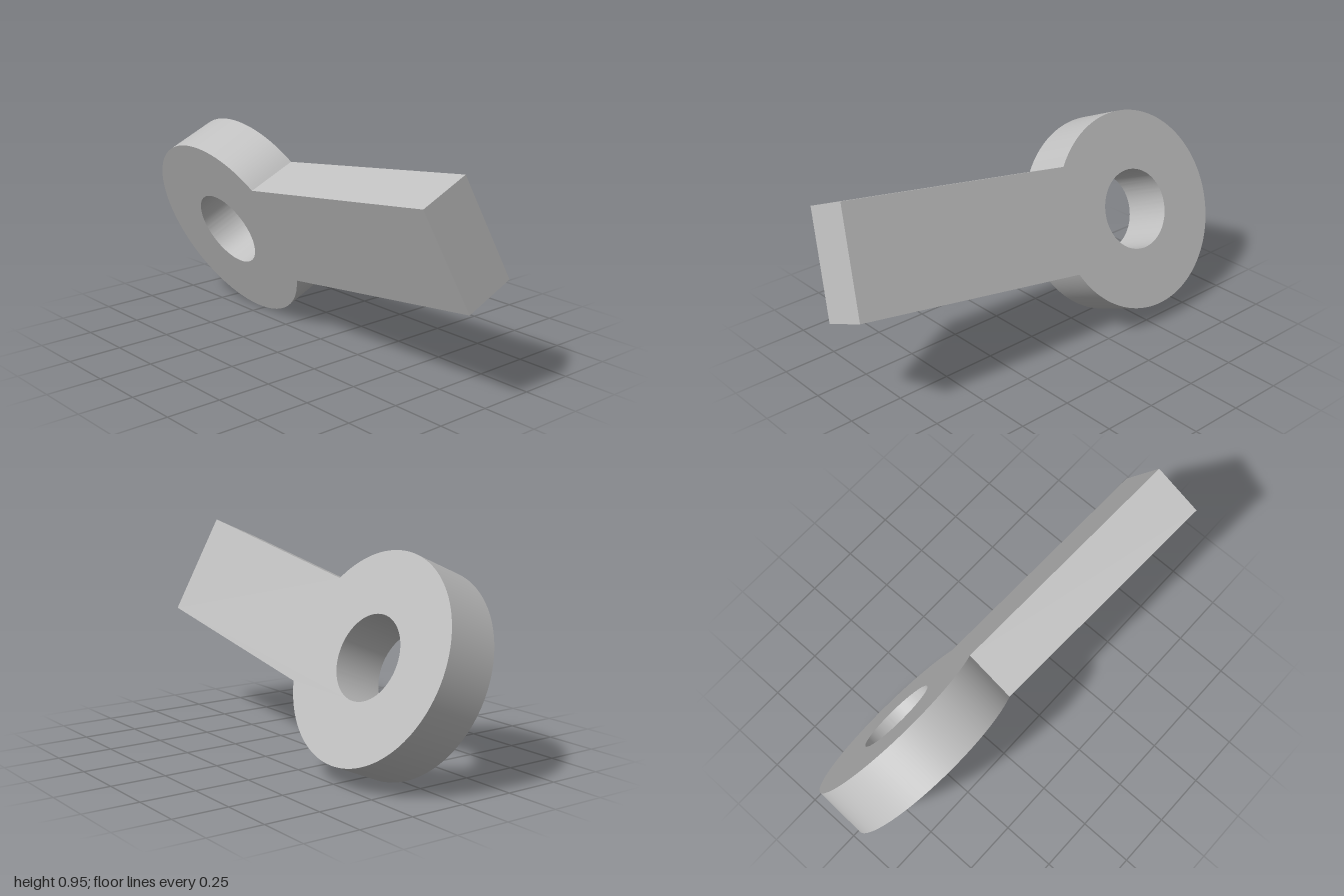
import * as THREE from 'three';
import { toCreasedNormals } from 'three/addons/utils/BufferGeometryUtils.js';

const RING = 0.458, HOLE = 0.185, HALF_WIDTH = 0.241, REACH = 1.522, DEPTH = 0.242;

export function createModel() {
  const group = new THREE.Group();
  group.name = 'eyeLink';
  const metal = new THREE.MeshStandardMaterial({ color: 0xc0c0c0 });
  metal.name = 'light grey';

  // Outline: round eye with a straight arm along -x
  const join = Math.asin(HALF_WIDTH / RING);
  const outline = new THREE.Shape();
  outline.moveTo(-REACH, HALF_WIDTH);
  outline.lineTo(-REACH, -HALF_WIDTH);
  outline.absarc(0, 0, RING, -Math.PI + join, Math.PI - join, false);
  outline.closePath();

  // Through hole in the eye
  const hole = new THREE.Path();
  hole.absarc(0, 0, HOLE, 0, Math.PI * 2, true);
  outline.holes.push(hole);

  const solid = new THREE.ExtrudeGeometry(outline, {
    depth: DEPTH, bevelEnabled: false, curveSegments: 64,
  });
  solid.translate(0, 0, -DEPTH / 2);

  // Raise the arm, turn it to the front, then lean the whole plate sideways
  solid.rotateZ(-THREE.MathUtils.degToRad(8.85));
  solid.rotateY(Math.PI / 2);
  solid.rotateZ(THREE.MathUtils.degToRad(23.5));
  solid.translate(0.001, 0.471, -0.542);

  const link = new THREE.Mesh(toCreasedNormals(solid, 0.5), metal);
  link.name = 'eyeAndArm';
  group.add(link);
  return group;
}
